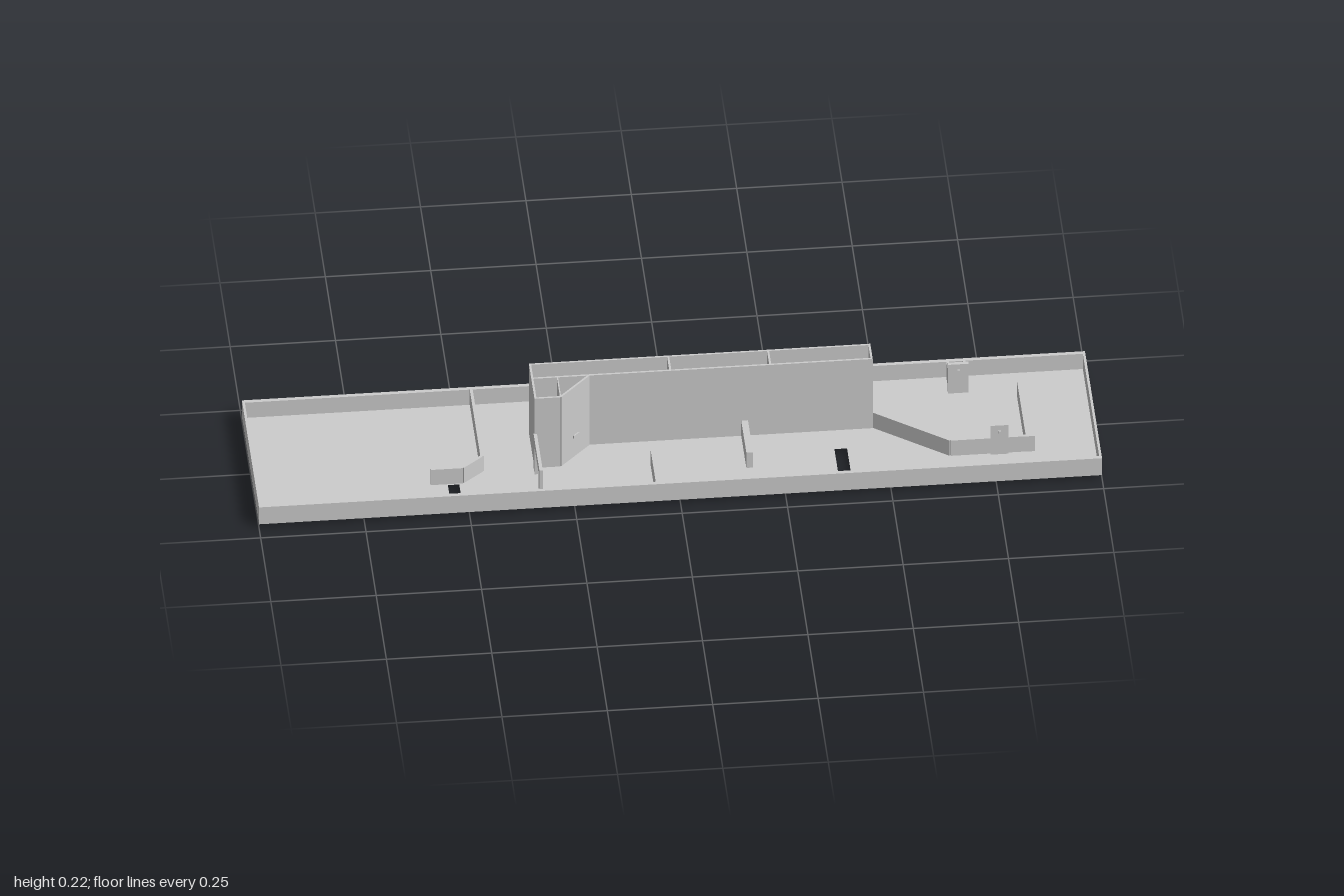
import * as THREE from 'three';

const FLOOR = 0.015, RIM = 0.06, TOWER = 0.22;

export function createModel() {
  const model = new THREE.Group();
  const mat = new THREE.MeshStandardMaterial({ color: 0xcccccc, flatShading: true });

  function add(name, geo, parent = model) {
    const mesh = new THREE.Mesh(geo, mat);
    mesh.name = name;
    parent.add(mesh);
    return mesh;
  }
  // Box from its minimum and maximum corners
  function box(name, x0, x1, y0, y1, z0, z1, parent) {
    const m = add(name, new THREE.BoxGeometry(x1 - x0, y1 - y0, z1 - z0), parent);
    m.position.set((x0 + x1) / 2, (y0 + y1) / 2, (z0 + z1) / 2);
    return m;
  }
  // Upright wall running along a line of plan points [x, z]
  function wall(name, points, top, t = 0.007, parent = model) {
    const group = new THREE.Group();
    group.name = name;
    for (let i = 0; i + 1 < points.length; i++) {
      const [x0, z0] = points[i], [x1, z1] = points[i + 1];
      const length = Math.hypot(x1 - x0, z1 - z0);
      const m = add(name + 'Panel', new THREE.BoxGeometry(length, top - FLOOR, t), group);
      m.position.set((x0 + x1) / 2, (top + FLOOR) / 2, (z0 + z1) / 2);
      m.rotation.y = -Math.atan2(z1 - z0, x1 - x0);
    }
    parent.add(group);
    return group;
  }

  // Floor with two slots cut through it
  const rect = (C, x0, x1, z0, z1) => new C([[x0, z0], [x1, z0], [x1, z1], [x0, z1]]
    .map(([x, z]) => new THREE.Vector2(x, -z)));
  const plan = rect(THREE.Shape, -1, 1, -0.21, 0.21);
  plan.holes.push(rect(THREE.Path, 0.38, 0.41, 0.055, 0.185), rect(THREE.Path, -0.542, -0.515, 0.107, 0.185));
  const floor = new THREE.ExtrudeGeometry(plan, { depth: FLOOR - 0.01, bevelEnabled: false });
  floor.rotateX(-Math.PI / 2).translate(0, 0.01, 0);
  add('floor', floor);

  // Tray rim
  for (const s of [-1, 1]) {
    box('longRim', -1, 1, FLOOR, RIM, s * 0.205 - 0.005, s * 0.205 + 0.005);
    box('endRim', s * 0.997 - 0.003, s * 0.997 + 0.003, FLOOR, RIM, -0.2, 0.2);
  }

  // Tall open-topped block with its angled corner room
  const tower = new THREE.Group();
  tower.name = 'tallBlock';
  model.add(tower);
  const t = 0.005;
  wall('blockBack', [[-0.33, -0.0755], [0.478, -0.0755]], TOWER, t, tower);
  wall('blockFront', [[-0.33, -0.0205], [0.478, -0.0205]], TOWER, t, tower);
  wall('blockLeftEnd', [[0.4755, -0.078], [0.4755, -0.018]], TOWER, t, tower);
  wall('blockRightEnd', [[-0.3295, -0.078], [-0.3295, 0.06]], TOWER, t, tower);
  wall('cornerRoom', [[-0.332, 0.0575], [-0.27, 0.0575], [-0.195, -0.02]], TOWER, t, tower);
  wall('roomDivider', [[-0.27, -0.02], [-0.27, 0.057]], TOWER, 0.003, tower);
  for (const x of [-0.002, 0.235]) wall('blockDivider', [[x, -0.075], [x, -0.02]], TOWER, t, tower);

  // Small handle on the angled wall
  const handle = box('roomHandle', -0.01, 0.01, 0.071, 0.079, -0.003, 0.003, tower);
  handle.position.set(-0.23, 0.075, 0.02);
  handle.rotation.y = Math.PI / 4;

  // Doorway frames between the block and the rims
  function doorway(name, x, z0, z1, open0, open1, top) {
    const g = new THREE.Group();
    g.name = name;
    model.add(g);
    const a = x - 0.004, b = x + 0.004;
    box('post', a, b, FLOOR, top, z0, open0, g);
    box('post', a, b, FLOOR, top, open1, z1, g);
    box('lintel', a, b, 0.092, top, open0, open1, g);
  }
  doorway('frontDoorway', -0.33, 0.058, 0.202, 0.085, 0.178, 0.115);
  doorway('backDoorway', 0.475, -0.2, -0.076, -0.187, -0.09, 0.112);

  // Low partitions
  wall('rightPartition', [[-0.457, -0.2], [-0.457, 0.06], [-0.506, 0.1], [-0.582, 0.1]], RIM);
  wall('leftPartition', [[0.476, -0.025], [0.65, 0.104], [0.84, 0.104]], RIM);
  box('thickPartition', 0.829, 0.851, FLOOR, RIM, -0.108, 0.108);
  box('frontStub', -0.058, -0.043, FLOOR, RIM, 0.068, 0.2);
  box('middleStub', 0.166, 0.182, FLOOR, RIM, -0.02, 0.108);

  // Alcove by the back rim, closed by a taller panel
  for (const x of [0.673, 0.712]) wall('alcoveSide', [[x, -0.2], [x, -0.139]], RIM, 0.006);
  box('alcovePanel', 0.668, 0.717, FLOOR, 0.1, -0.144, -0.135);
  box('alcoveHandle', 0.69, 0.696, 0.077, 0.085, -0.135, -0.131);

  // Taller panel on the left partition
  box('tallPanel', 0.745, 0.787, FLOOR, 0.1, 0.104, 0.112);
  box('tallPanelHandle', 0.763, 0.769, 0.077, 0.085, 0.112, 0.116);

  // Thin ridges under the floor
  for (const [x0, x1, z] of [[-0.495, 0.488, -0.074], [-0.25, 0.488, -0.02], [-0.495, -0.252, 0.058]])
    box('undersideRidge', x0, x1, 0, 0.01, z - 0.001, z + 0.001);

  return model;
}
